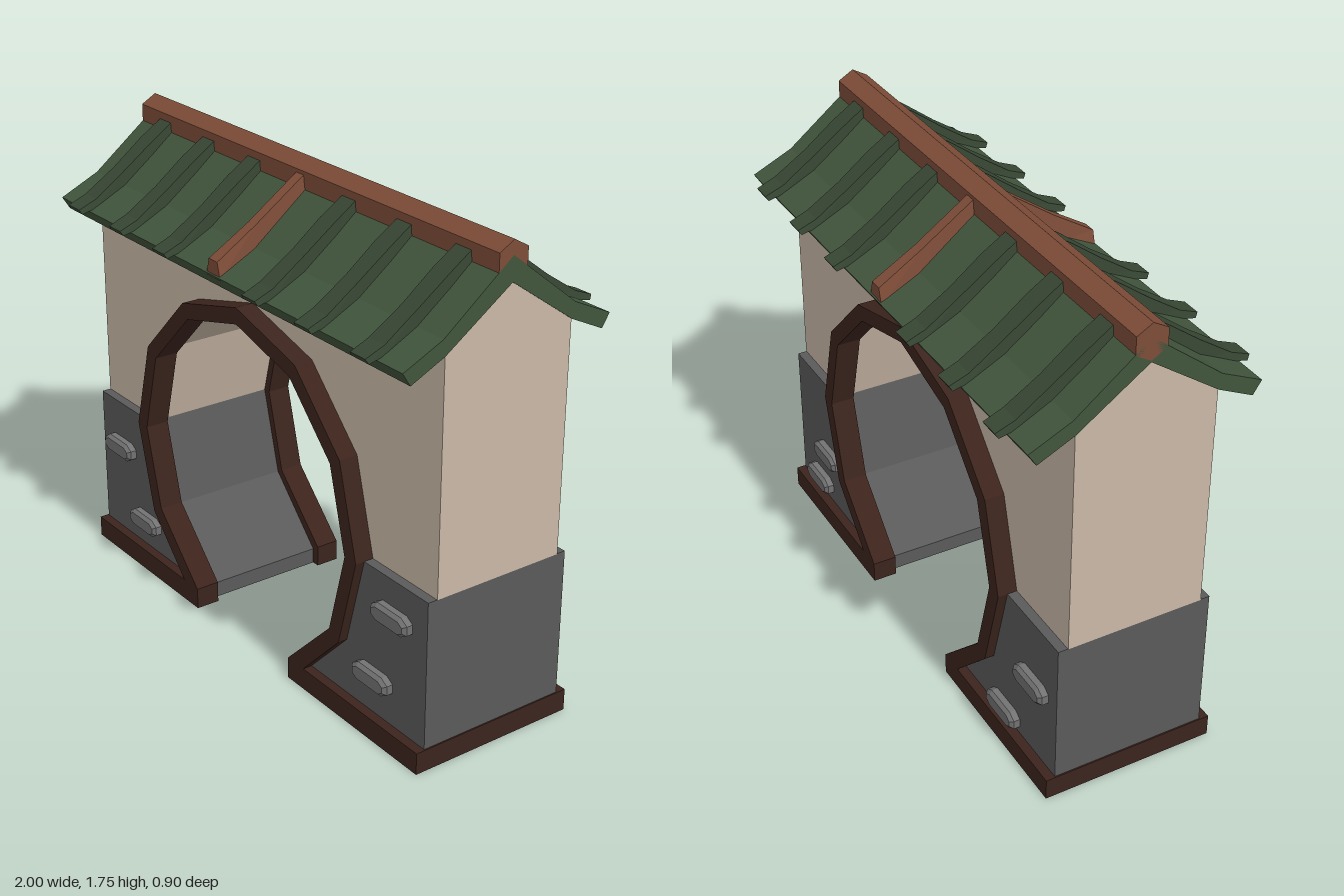
import * as THREE from 'three';

const mat = (color) => new THREE.MeshStandardMaterial({ color, flatShading: true });
const MAT = {
  plaster: mat(0xc9b8a6), stone: mat(0x5a5a5a), brick: mat(0x727272),
  trim: mat(0x3c241d), tile: mat(0x40543c), rib: mat(0x374633), ridge: mat(0x7d4c38),
};
MAT.stone.side = THREE.DoubleSide;

const CY = 0.62; // height of the centre of the round opening
const shapeOf = (pts) => new THREE.Shape(pts.map(([x, y]) => new THREE.Vector2(x, y)));

// Points of a twelve-sided ring, from one 30 degree step to another
function ring(r, from, to) {
  const pts = [];
  const dir = Math.sign(to - from);
  for (let i = from; i !== to + dir; i += dir) {
    const a = (i * Math.PI) / 6;
    pts.push([r * Math.cos(a), CY + r * Math.sin(a)]);
  }
  return pts;
}

// Extrude an (x, y) outline between two depths
function extrudeZ(pts, z0, z1) {
  const g = new THREE.ExtrudeGeometry(shapeOf(pts), { depth: z1 - z0, bevelEnabled: false });
  return g.translate(0, 0, z0);
}

// Extrude a symmetric (z, y) section along x
function extrudeX(pts, halfLength) {
  return extrudeZ(pts, -halfLength, halfLength).rotateY(Math.PI / 2);
}

// Remove the faces lying on the ground so the shell is open below
function openBottom(g) {
  const src = g.index ? g.toNonIndexed() : g;
  const p = src.attributes.position;
  const keep = [];
  for (let i = 0; i < p.count; i += 3) {
    if (Math.max(p.getY(i), p.getY(i + 1), p.getY(i + 2)) < 0.001) continue;
    for (let k = i; k < i + 3; k++) keep.push(p.getX(k), p.getY(k), p.getZ(k));
  }
  const out = new THREE.BufferGeometry();
  out.setAttribute('position', new THREE.Float32BufferAttribute(keep, 3));
  out.computeVertexNormals();
  return out;
}

// A batten following upper and lower (z, y) paths, narrower along its top
function batten(upper, lower, widths, taper) {
  const n = upper.length - 1;
  const g = new THREE.BoxGeometry(1, 1, 1, 1, 1, n);
  const p = g.attributes.position;
  for (let i = 0; i < p.count; i++) {
    const row = Math.round((p.getZ(i) + 0.5) * n);
    const top = p.getY(i) > 0;
    const [z, y] = (top ? upper : lower)[row];
    p.setXYZ(i, p.getX(i) * widths[row] * (top ? taper : 1), y, z);
  }
  const out = g.toNonIndexed();
  out.computeVertexNormals();
  return out;
}

// Mirror a half section to both sides of z = 0
const bothSides = (upper, lower) => [
  ...upper, ...[...lower].reverse(),
  ...lower.slice(1).map(([z, y]) => [-z, y]),
  ...[...upper].reverse().slice(0, -1).map(([z, y]) => [-z, y]),
];

export function createModel() {
  const model = new THREE.Group();
  const add = (name, geometry, material, parent = model) => {
    const m = new THREE.Mesh(geometry, material);
    m.name = name;
    parent.add(m);
    return m;
  };

  // Plaster wall above the opening, with a gable under the roof
  add('plasterWall', extrudeZ(
    [[0.997, CY], [0.997, 1.43], [-0.997, 1.43], [-0.997, CY], ...ring(0.64, 6, 0)], -0.25, 0.25), MAT.plaster);
  add('gable', extrudeX([[-0.25, 1.42], [0.25, 1.42], [0.25, 1.445], [0, 1.62], [-0.25, 1.445]], 0.997), MAT.plaster);

  // Hollow stone footings and the end bars of the base trim
  for (const s of [1, -1]) {
    const outline = [[0.32, 0], [0.995, 0], [0.995, CY], ...ring(0.64, 0, -1), [0.32, 0.06]];
    add(s > 0 ? 'leftFooting' : 'rightFooting',
      openBottom(extrudeZ(outline.map(([x, y]) => [s * x, y]), -0.285, 0.285)), MAT.stone);
    const bar = add('baseEndTrim', new THREE.BoxGeometry(0.08, 0.08, 0.5), MAT.trim);
    bar.position.set(s * 0.96, 0.04, 0);
  }

  // Round opening trim joined to the base trim, on both faces
  const trimOutline = [
    [0.29, 0], [1, 0], [1, 0.08], [0.38, 0.08], ...ring(0.67, -1, 7), [-0.38, 0.08], [-1, 0.08],
    [-1, 0], [-0.29, 0], [-0.29, 0.08], ...ring(0.61, 7, -1), [0.29, 0.08],
  ];
  const trim = extrudeZ(trimOutline, 0.23, 0.32);
  add('frontTrim', trim, MAT.trim);
  add('backTrim', trim, MAT.trim).rotation.y = Math.PI;

  // Protruding stones with clipped corners
  const w = 0.08, h = 0.023, c = 0.022;
  const brick = new THREE.ExtrudeGeometry(
    shapeOf([[-w, -h + c * 0.6], [-w + c, -h], [w - c, -h], [w, -h + c * 0.6],
      [w, h - c * 0.6], [w - c, h], [-w + c, h], [-w, h - c * 0.6]]),
    { depth: 0.08, bevelEnabled: true, bevelSize: 0.012, bevelThickness: 0.012, bevelSegments: 1 });
  const stones = [
    [-0.85, 0.44, 1], [-0.685, 0.185, 1], [0.83, 0.49, 1], [0.735, 0.22, 1],
    [0.73, 0.3, -1], [0.81, 0.145, -1], [-0.85, 0.38, -1], [-0.67, 0.125, -1],
  ];
  for (const [x, y, s] of stones) {
    const b = add('raisedStone', brick, MAT.brick);
    b.position.set(x, y, s * 0.228);
    if (s < 0) b.rotation.y = Math.PI;
  }

  // Curved tile roof
  add('roof', extrudeX(bothSides(
    [[0, 1.7], [0.26, 1.495], [0.41, 1.425]],
    [[0, 1.615], [0.25, 1.44], [0.38, 1.378]]), 1), MAT.tile);

  // Hexagonal ridge beam
  const ridge = add('ridgeBeam', new THREE.CylinderGeometry(0.065, 0.065, 2, 6).rotateY(Math.PI / 2)
    .rotateZ(Math.PI / 2), MAT.ridge);
  ridge.geometry.computeBoundingBox();
  // keep a corner of the hexagon pointing up
  if (ridge.geometry.boundingBox.max.y < 0.06) ridge.geometry.rotateX(Math.PI / 6);
  ridge.position.y = 1.685;

  // Tile ribs and the central rib, on both slopes
  const rib = batten(
    [[0.02, 1.715], [0.14, 1.635], [0.26, 1.545], [0.38, 1.465], [0.45, 1.437]],
    [[0.02, 1.66], [0.14, 1.57], [0.26, 1.48], [0.38, 1.435], [0.44, 1.42]],
    [0.082, 0.088, 0.08, 0.088, 0.085], 0.86);
  const centreRib = batten(
    [[0.02, 1.73], [0.25, 1.57], [0.405, 1.475]],
    [[0.02, 1.64], [0.25, 1.47], [0.405, 1.415]],
    [0.07, 0.07, 0.082], 0.6);
  for (const turn of [0, Math.PI]) {
    const slope = new THREE.Group();
    slope.name = turn ? 'backRibs' : 'frontRibs';
    slope.rotation.y = turn;
    model.add(slope);
    for (const x of [-0.84, -0.555, -0.27, 0.268, 0.553, 0.838]) {
      add('tileRib', rib, MAT.rib, slope).position.x = turn ? -x : x;
    }
    add('centreRib', centreRib, MAT.ridge, slope);
  }
  return model;
}
